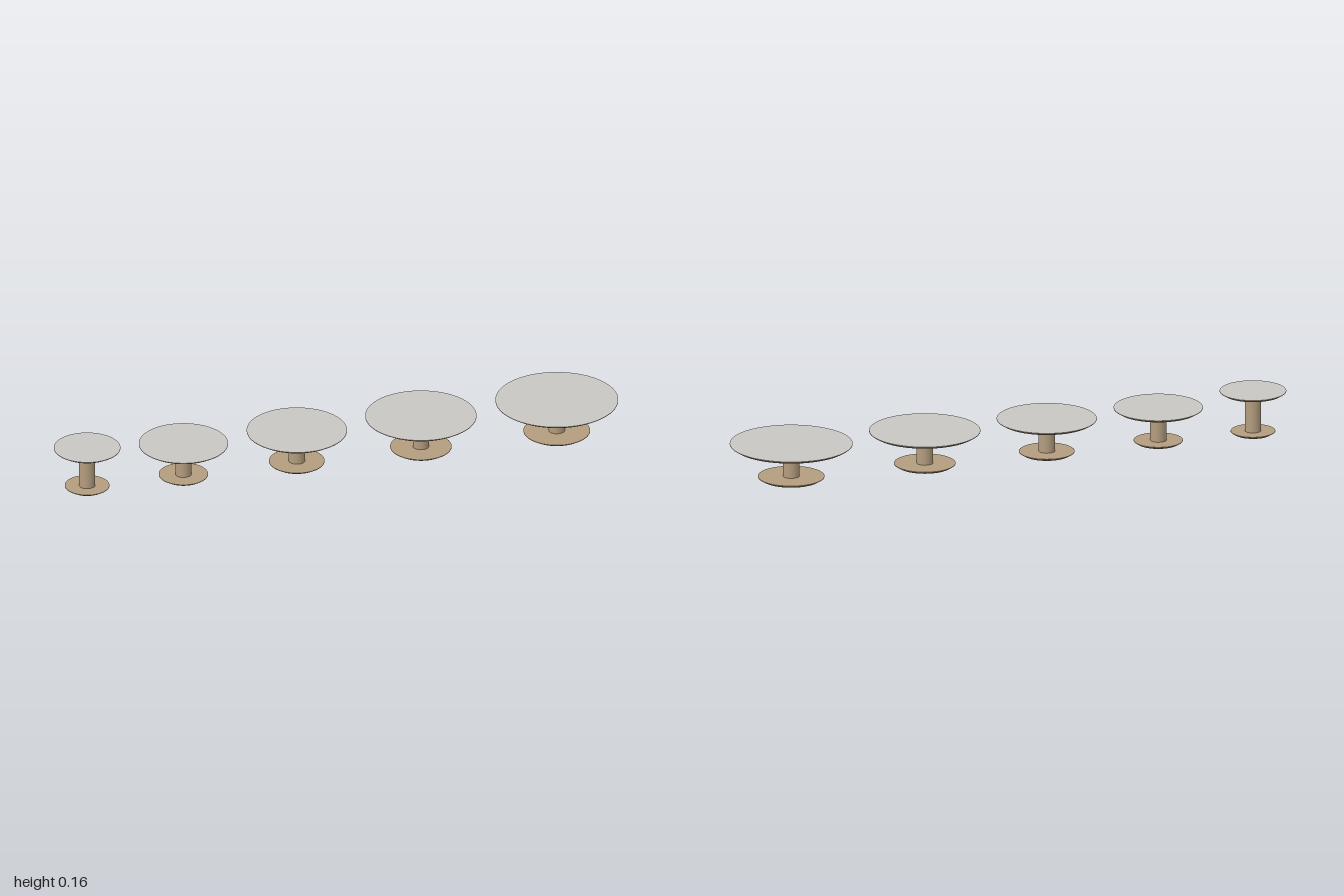
import * as THREE from 'three';

const wood = new THREE.MeshStandardMaterial({ color: 0xb39c7e });
wood.name = 'tan wood';
const laminate = new THREE.MeshStandardMaterial({ color: 0xc8c6c2 });
laminate.name = 'pale grey laminate';

const SEGMENTS = 64;
const THICKNESS = 0.01;
const RIM = 0.002;
const BEVEL = 0.013;
const PLATE_RADIUS = 0.077;
const PLATE_HEIGHT = 0.007;
const COLUMN_RADIUS = 0.028;

function cylinder(name, topRadius, bottomRadius, y0, y1, material) {
  const geometry = new THREE.CylinderGeometry(topRadius, bottomRadius, y1 - y0, SEGMENTS);
  const mesh = new THREE.Mesh(geometry, material);
  mesh.name = name;
  mesh.position.y = (y0 + y1) / 2;
  return mesh;
}

// Round slab with a thin upright rim and an undercut bevel below it
function bevelledDisc(name, radius, y0, topMaterial) {
  const disc = new THREE.Group();
  disc.name = name;
  const rimY = y0 + THICKNESS - RIM;
  disc.add(
    cylinder(name + 'Bevel', radius, radius - BEVEL, y0, rimY, wood),
    // Material order: side, top, bottom
    cylinder(name + 'Rim', radius, radius, rimY, y0 + THICKNESS, [wood, topMaterial, wood])
  );
  return disc;
}

function pedestalTable({ x, topRadius, baseRadius, height }) {
  const table = new THREE.Group();
  table.name = 'pedestalTable';
  const topY = height - THICKNESS;
  const plateY = topY - PLATE_HEIGHT;
  table.add(
    bevelledDisc('base', baseRadius, 0, wood),
    cylinder('column', COLUMN_RADIUS, COLUMN_RADIUS, THICKNESS, plateY, wood),
    cylinder('mountingPlate', PLATE_RADIUS, PLATE_RADIUS, plateY, topY, wood),
    bevelledDisc('tabletop', topRadius, topY, laminate)
  );
  table.position.x = x;
  return table;
}

export function createModel() {
  const model = new THREE.Group();
  model.name = 'roundTables';
  // One taller small table, then four lower ones of growing width
  const tables = [
    { x: -0.885, topRadius: 0.115, baseRadius: 0.077, height: 0.155 },
    { x: -0.542, topRadius: 0.154, baseRadius: 0.085, height: 0.128 },
    { x: -0.138, topRadius: 0.173, baseRadius: 0.096, height: 0.128 },
    { x: 0.304, topRadius: 0.192, baseRadius: 0.106, height: 0.128 },
    { x: 0.788, topRadius: 0.212, baseRadius: 0.115, height: 0.128 }
  ];
  for (const table of tables) model.add(pedestalTable(table));
  return model;
}
